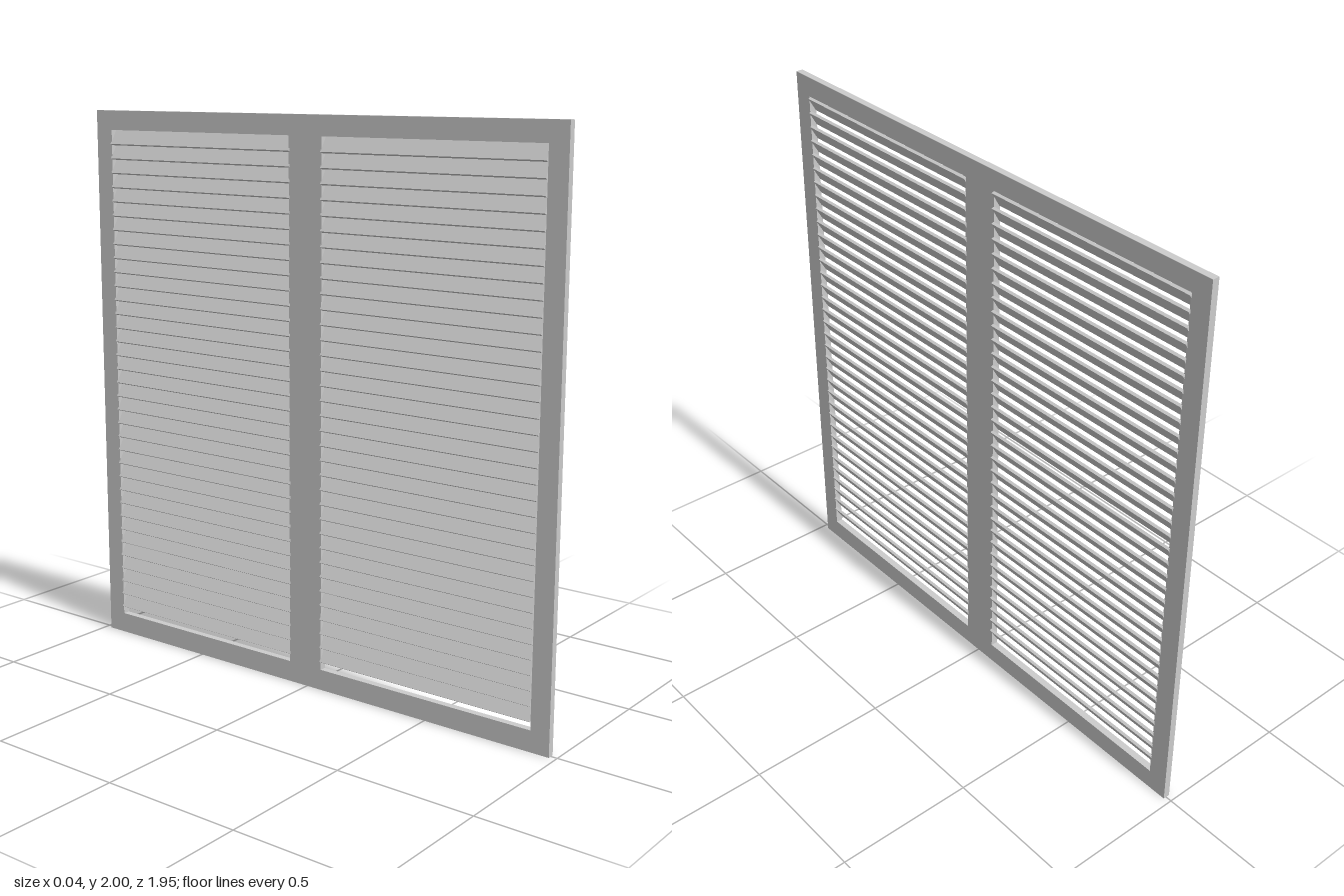
import * as THREE from 'three';

const material = new THREE.MeshStandardMaterial({ color: 0xcccccc });

// Rectangle outline in the (z, y) plane
function rect(path, z0, z1, y0, y1) {
  path.moveTo(z0, y0);
  path.lineTo(z1, y0);
  path.lineTo(z1, y1);
  path.lineTo(z0, y1);
  path.closePath();
  return path;
}

export function createModel() {
  const model = new THREE.Group();
  model.name = 'louveredShutter';

  // Flat frame with two openings, drawn in (-z, y) and turned to face +x
  const outline = rect(new THREE.Shape(), -0.977, 0.977, 0, 2);
  outline.holes.push(rect(new THREE.Path(), -0.907, -0.061, 0.075, 1.93));
  outline.holes.push(rect(new THREE.Path(), 0.077, 0.904, 0.075, 1.93));
  const frameGeo = new THREE.ExtrudeGeometry(outline, { depth: 0.025, bevelEnabled: false });
  frameGeo.rotateY(Math.PI / 2);
  frameGeo.translate(-0.014, 0, 0);
  const frame = new THREE.Mesh(frameGeo, material);
  frame.name = 'frame';
  model.add(frame);

  // Tilted slats, higher on the +x side
  const count = 35, firstY = 0.127, lastY = 1.902;
  const panels = [
    { name: 'frontSlats', z0: 0.058, z1: 0.903 },
    { name: 'backSlats', z0: -0.907, z1: -0.074 },
  ];
  for (const { name, z0, z1 } of panels) {
    const panel = new THREE.Group();
    panel.name = name;
    const slatGeo = new THREE.BoxGeometry(0.0568, 0.01, z1 - z0);
    slatGeo.rotateZ(Math.PI / 3);
    for (let i = 0; i < count; i++) {
      const slat = new THREE.Mesh(slatGeo, material);
      slat.name = 'slat';
      slat.position.set(0, THREE.MathUtils.lerp(firstY, lastY, i / (count - 1)), (z0 + z1) / 2);
      panel.add(slat);
    }
    model.add(panel);
  }
  return model;
}
